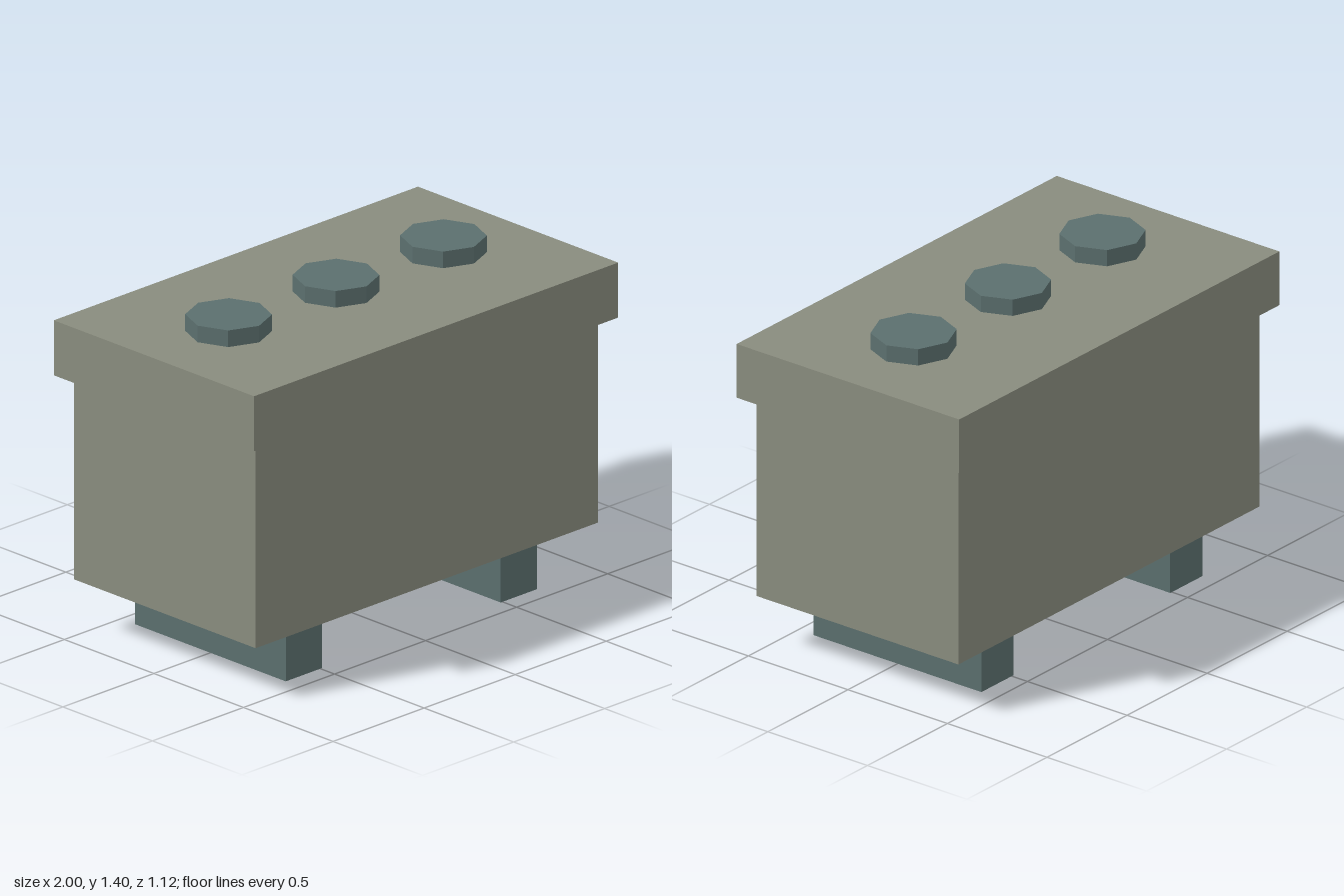
import * as THREE from 'three';

export function createModel() {
  const model = new THREE.Group();
  const stone = new THREE.MeshStandardMaterial({ color: 0x898c7e });
  stone.name = 'greyOlive';
  const slate = new THREE.MeshStandardMaterial({ color: 0x5b6f6e, flatShading: true });
  slate.name = 'slateTeal';

  function add(name, geometry, material, x, y) {
    const mesh = new THREE.Mesh(geometry, material);
    mesh.name = name;
    mesh.position.set(x, y, 0);
    model.add(mesh);
  }

  // Box spanning bottom to top, centred on z
  function box(name, material, x, width, bottom, top, depth) {
    add(name, new THREE.BoxGeometry(width, top - bottom, depth), material, x, (bottom + top) / 2);
  }

  // Main case and overhanging lid
  box('body', stone, 0, 1.88, 0.235, 1.1, 1.014);
  box('lid', stone, 0, 2, 1.098, 1.33, 1.118);

  // Two runners under the case
  box('rightFoot', slate, -0.59, 0.2, 0, 0.235, 0.842);
  box('leftFoot', slate, 0.59, 0.2, 0, 0.235, 0.842);

  // Row of three octagonal caps on the lid
  ['rightCap', 'middleCap', 'leftCap'].forEach((name, i) => {
    add(name, new THREE.CylinderGeometry(0.17, 0.17, 0.07, 8), slate, (i - 1) * 0.59, 1.365);
  });

  return model;
}
